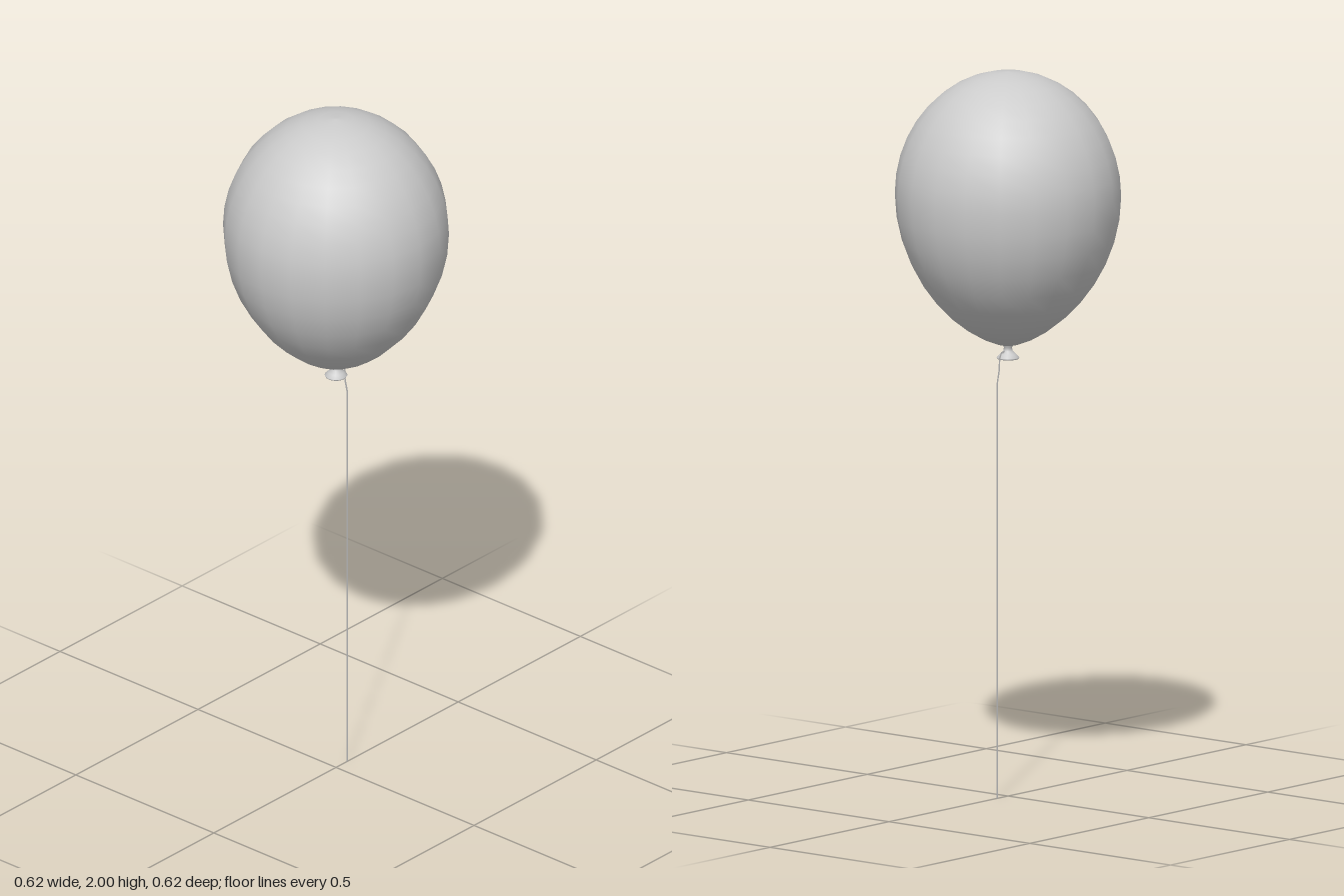
import * as THREE from 'three';

const SIDES = 20;
const V = (x, y) => new THREE.Vector2(x, y);

function addMesh(group, name, geometry, side = THREE.FrontSide) {
  const material = new THREE.MeshStandardMaterial({ color: 0xcccccc, side });
  const mesh = new THREE.Mesh(geometry, material);
  mesh.name = name;
  group.add(mesh);
}

// Egg profile from bottom to top: rounded above the widest ring, tapered below
function balloonProfile() {
  const points = [];
  const steps = 20;
  for (let i = 0; i <= steps; i++) {
    const t = -Math.PI / 2 + (Math.PI * i) / steps;
    const c = Math.max(0, Math.cos(t));
    const low = t < 0;
    const r = 0.308 * Math.pow(c, low ? 1.28 : 1);
    points.push(V(i === steps ? 0 : r, 1.66 + Math.sin(t) * (low ? 0.418 : 0.34)));
  }
  return points;
}

// Flat ribbon following (z, y) points, lying in the x = 0 plane
function ribbon(path, width) {
  const sides = [[], []];
  path.forEach((p, i) => {
    const a = path[Math.max(0, i - 1)];
    const b = path[Math.min(path.length - 1, i + 1)];
    const d = b.clone().sub(a).normalize();
    const n = V(-d.y, d.x).multiplyScalar(width / 2);
    sides[0].push(p.clone().add(n));
    sides[1].unshift(p.clone().sub(n));
  });
  const geometry = new THREE.ShapeGeometry(new THREE.Shape([...sides[0], ...sides[1]]));
  return geometry.rotateY(-Math.PI / 2);
}

export function createModel() {
  const group = new THREE.Group();
  group.name = 'balloon';

  addMesh(group, 'balloonBody', new THREE.LatheGeometry(balloonProfile(), SIDES));

  // Flared lip below the tied neck, hollow underneath
  const lip = [V(0, 1.222), V(0.016, 1.216), V(0.029, 1.207), V(0.031, 1.211),
    V(0.022, 1.22), V(0.013, 1.229), V(0.011, 1.238), V(0.018, 1.25)];
  addMesh(group, 'knot', new THREE.LatheGeometry(lip, SIDES), THREE.DoubleSide);

  // String leaves the back of the knot and hangs straight down
  const path = [V(-0.008, 1.229), V(-0.028, 1.226), V(-0.035, 1.212), V(-0.037, 1.18),
    V(-0.046, 1.14), V(-0.046, 0)];
  addMesh(group, 'string', ribbon(path, 0.006), THREE.DoubleSide);

  return group;
}
